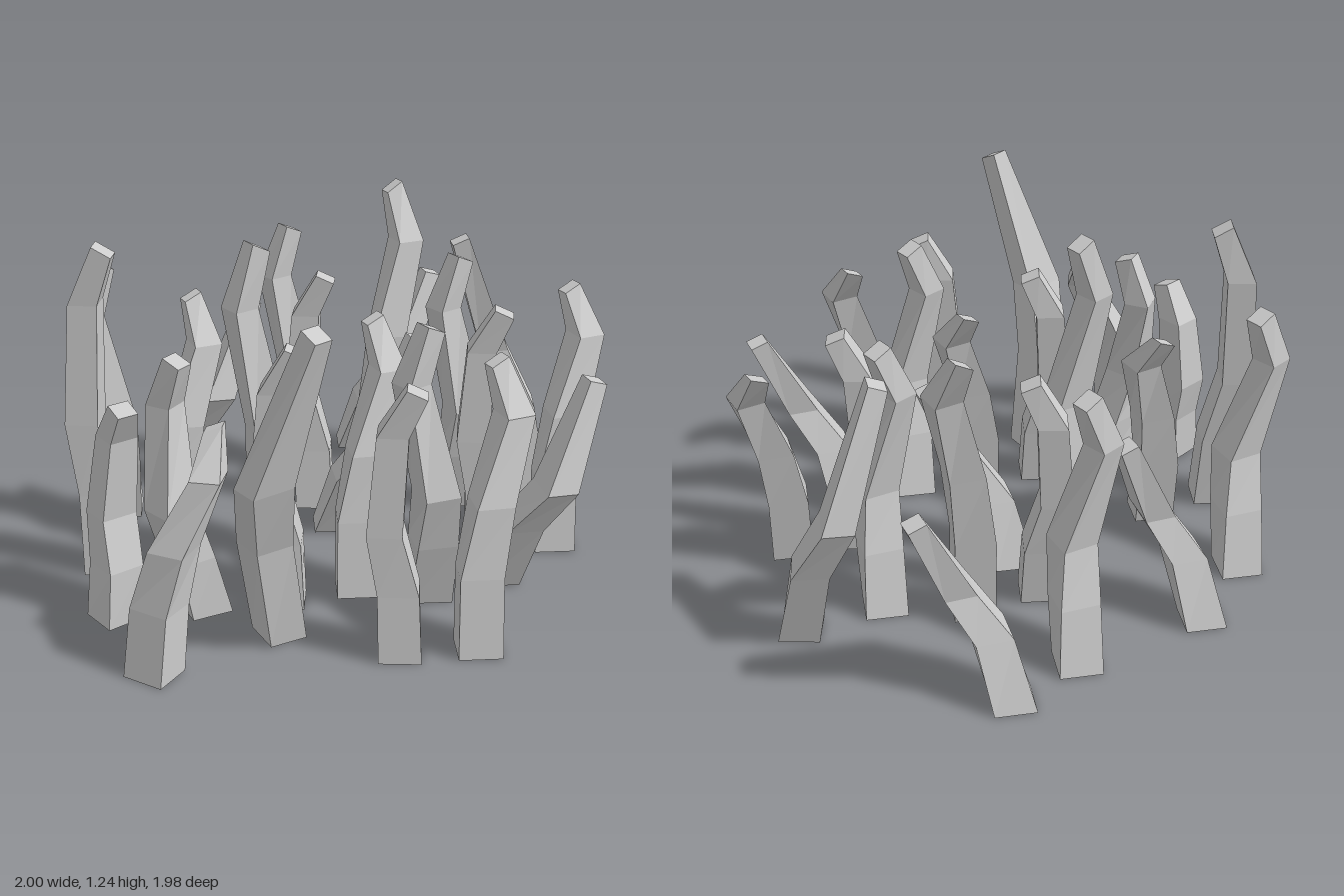
import * as THREE from 'three';

// Cross-sections from root to tip: [x, y, z, half width, half depth, yaw, tip tilt]
const shapes = {
  archedStalk: [
    [0, 0, 0, 0.075, 0.068, 0, 0],
    [0.065, 0.26, 0.08, 0.067, 0.07, 0.1, 0],
    [0.175, 0.43, 0.13, 0.056, 0.08, 0.15, 0],
    [0.317, 0.785, 0.013, 0.032, 0.035, 0.25, -0.01],
  ],
  hookedStalk: [
    [0, 0, 0, 0.076, 0.068, 0, 0],
    [0.002, 0.28, -0.042, 0.074, 0.065, 0, 0],
    [0.04, 0.52, -0.085, 0.065, 0.064, 0.12, 0],
    [0.12, 0.8, -0.178, 0.052, 0.053, 0.35, 0],
    [0.073, 0.945, -0.285, 0.032, 0.026, 0.4, 0.015],
  ],
  tallStalk: [
    [0, 0, 0, 0.078, 0.075, 0, 0],
    [0.005, 0.25, 0.06, 0.073, 0.07, 0.15, 0],
    [0.005, 0.46, 0.115, 0.065, 0.065, 0.3, 0],
    [-0.085, 0.86, 0.085, 0.048, 0.048, 0.6, 0],
    [-0.02, 1.05, 0.06, 0.034, 0.034, 0.5, -0.015],
  ],
  leaningStalk: [
    [0, 0, 0, 0.073, 0.068, -0.1, 0],
    [-0.005, 0.24, -0.025, 0.07, 0.066, -0.12, 0],
    [-0.05, 0.45, -0.05, 0.06, 0.066, -0.15, 0],
    [-0.025, 0.79, -0.073, 0.053, 0.053, -0.15, 0],
    [0.05, 0.94, -0.05, 0.034, 0.038, -0.15, -0.015],
  ],
};

// Placements: [x, z, height scale, yaw]
const places = {
  archedStalk: [
    [0.135, -0.925], [-0.625, -0.615], [-0.01, -0.145], [0.565, 0.315],
    [0.82, -0.42, 1.34, 2.95], [-0.248, 0.65, 1.54, -1.14],
  ],
  hookedStalk: [
    [0.19, -0.41, 1.29], [-0.61, 0.075], [0.82, 0.075], [0.045, 0.37], [0.425, 0.805],
    [-0.67, 0.88, 0.85, -0.6],
  ],
  tallStalk: [
    [-0.125, -0.77], [-0.845, -0.335], [0.505, -0.335], [-0.27, 0.005, 1.16], [0.3, 0.415],
    [-0.507, 0.454, 0.9, -1.17],
  ],
  leaningStalk: [
    [-0.07, -0.35], [-0.875, 0.14, 1.3], [0.555, 0.09], [-0.22, 0.43], [0.155, 0.815],
    [-0.824, 0.503, 0.845, -0.85],
  ],
};

// Bend a segmented box, open underneath, so each level follows one cross-section
function stalkGeometry(rings) {
  const n = rings.length - 1;
  const geo = new THREE.BoxGeometry(2, n, 2, 1, n, 1);
  const p = geo.attributes.position;
  for (let i = 0; i < p.count; i++) {
    const [x, y, z, w, d, yaw, tilt] = rings[Math.round(p.getY(i) + n / 2)];
    const sx = p.getX(i), a = sx * w, b = p.getZ(i) * d;
    const c = Math.cos(yaw), s = Math.sin(yaw);
    p.setXYZ(i, x + a * c + b * s, y + sx * tilt, z - a * s + b * c);
  }
  const bottom = geo.groups[3];
  const index = Array.from(geo.index.array);
  index.splice(bottom.start, bottom.count);
  geo.setIndex(index);
  geo.clearGroups();
  const flat = geo.toNonIndexed();
  flat.computeVertexNormals();
  return flat;
}

export function createModel() {
  const group = new THREE.Group();
  group.name = 'stalkCluster';
  const material = new THREE.MeshStandardMaterial({
    color: 0xcccccc, flatShading: true, side: THREE.DoubleSide,
  });
  for (const [name, rings] of Object.entries(shapes)) {
    const geometry = stalkGeometry(rings);
    places[name].forEach(([x, z, height = 1, yaw = 0], i) => {
      const stalk = new THREE.Mesh(geometry, material);
      stalk.name = name + (i + 1);
      stalk.position.set(x, 0, z);
      stalk.rotation.y = yaw;
      stalk.scale.y = height;
      group.add(stalk);
    });
  }
  return group;
}
